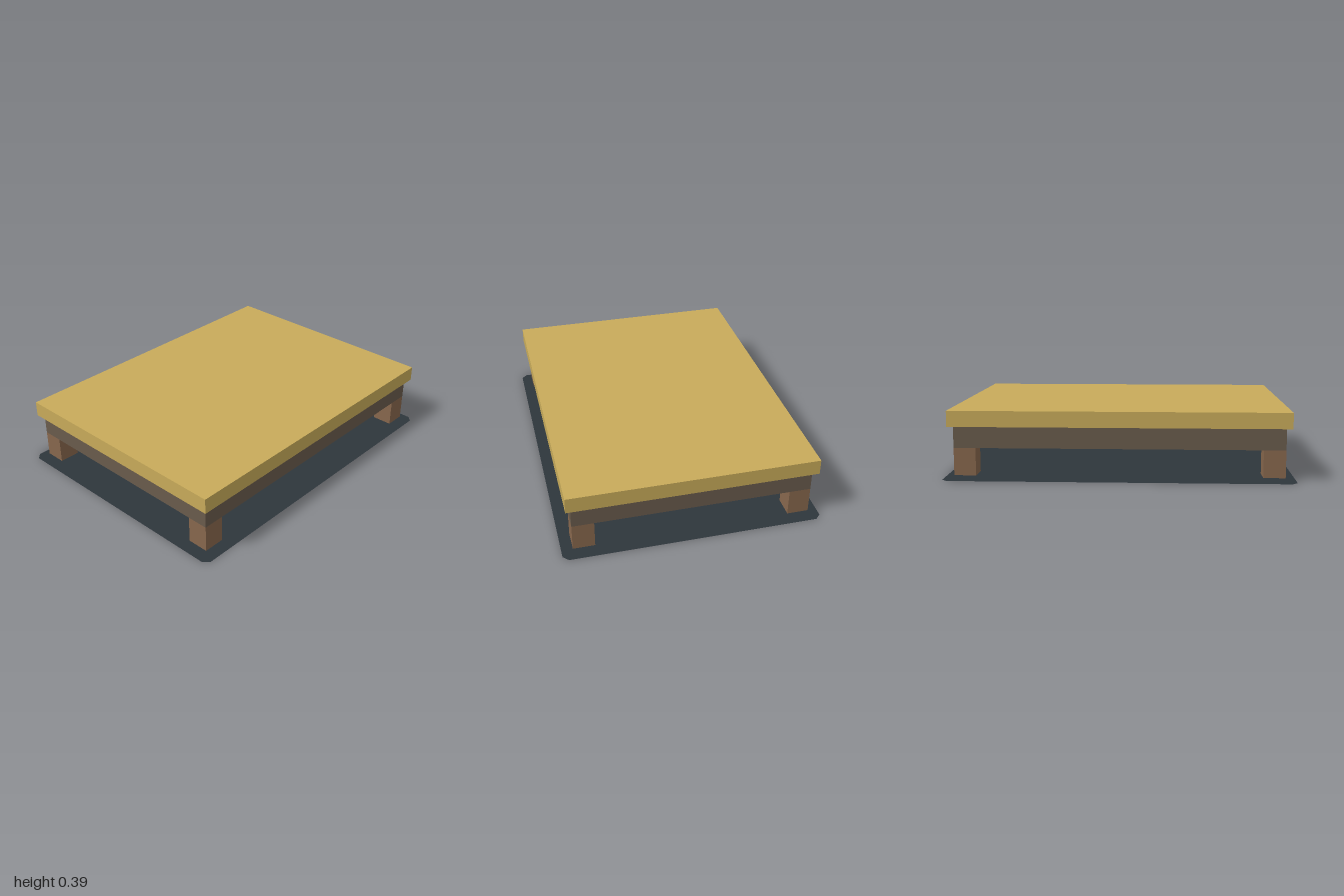
import * as THREE from 'three';

const mat = (name, color) => Object.assign(new THREE.MeshStandardMaterial({ color }), { name });

// Rectangle outline with half-sizes x and z and an optional corner cut
function outline(Kind, x, z, cut = 0) {
  const pts = [];
  for (const [sx, sz] of [[1, 1], [-1, 1], [-1, -1], [1, -1]]) {
    const a = [sx * x, sz * (z - cut)], b = [sx * (x - cut), sz * z];
    const pair = cut === 0 ? [a] : sx * sz > 0 ? [a, b] : [b, a];
    for (const p of pair) pts.push(new THREE.Vector2(...p));
  }
  return new Kind(pts);
}

// Rectangular ring standing between heights y0 and y1
function ring(outX, outZ, inX, inZ, y0, y1) {
  const shape = outline(THREE.Shape, outX, outZ);
  shape.holes.push(outline(THREE.Path, inX, inZ));
  return new THREE.ExtrudeGeometry(shape, { depth: y1 - y0, bevelEnabled: false })
    .rotateX(-Math.PI / 2).translate(0, y0, 0);
}

export function createModel() {
  const group = new THREE.Group();
  group.name = 'lowPlatform';
  const straw = mat('straw', 0xc8ab5a);
  const darkWood = mat('dark wood', 0x695b4c);
  const wood = mat('brown wood', 0x87674d);
  const slate = mat('slate', 0x2e363c);
  slate.side = THREE.DoubleSide;

  const add = (name, geometry, material) => {
    const mesh = new THREE.Mesh(geometry, material);
    mesh.name = name;
    group.add(mesh);
    return mesh;
  };

  // Flat ground sheet with clipped corners
  add('groundSheet', new THREE.ShapeGeometry(outline(THREE.Shape, 1, 0.75, 0.032))
    .rotateX(-Math.PI / 2), slate);

  // Four short square legs
  const legSize = 0.125, legBottom = 0.02, legTop = 0.178;
  for (const sx of [-1, 1]) for (const sz of [-1, 1]) {
    const leg = add(`${sz > 0 ? 'front' : 'back'}${sx > 0 ? 'Left' : 'Right'}Leg`,
      new THREE.BoxGeometry(legSize, legTop - legBottom, legSize), wood);
    leg.position.set(sx * (0.937 - legSize / 2), (legBottom + legTop) / 2, sz * (0.687 - legSize / 2));
  }

  // Frame under the top
  add('frame', ring(0.937, 0.687, 0.907, 0.657, 0.178, 0.303), darkWood);

  // Hollow top: overhanging rim closed by a flat board
  add('topRim', ring(0.967, 0.717, 0.907, 0.657, 0.303, 0.36), straw);
  add('topBoard', new THREE.BoxGeometry(1.934, 0.034, 1.434), straw).position.y = 0.377;

  return group;
}
